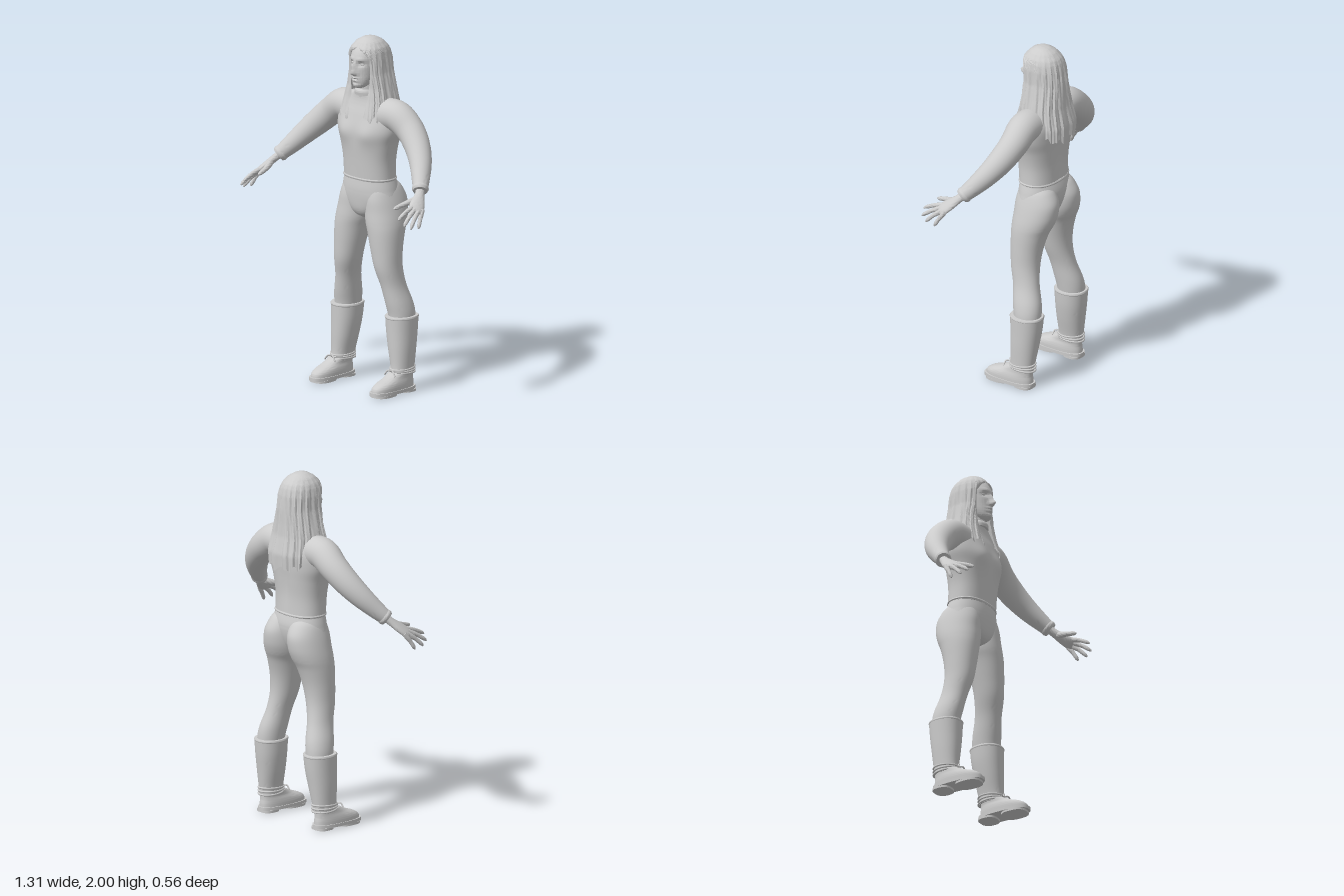
import * as THREE from 'three';
import { toCreasedNormals } from 'three/addons/utils/BufferGeometryUtils.js';

const clay = new THREE.MeshStandardMaterial({ color: 0xcccccc, side: THREE.DoubleSide });
clay.name = 'light grey';

const bell = (d, w) => Math.exp(-(d * d) / (w * w));
const spow = (v, p) => Math.sign(v) * Math.abs(v) ** p;

// Smooth interpolation through a table of rows, t from 0 to 1
function spline(rows, t) {
  const n = rows.length - 1, f = Math.min(t, 0.999999) * n, i = Math.floor(f), k = f - i;
  const a = rows[Math.max(i - 1, 0)], b = rows[i], c = rows[i + 1], d = rows[Math.min(i + 2, n)];
  return b.map((p, j) => p + 0.5 * k * (c[j] - a[j] + k * (2 * a[j] - 5 * p + 4 * c[j] - d[j]
    + k * (3 * (p - c[j]) + d[j] - a[j]))));
}

// Linear lookup by the first column, which descends
function lookup(rows, y) {
  let i = 0;
  while (i < rows.length - 2 && y < rows[i + 1][0]) i++;
  const a = rows[i], b = rows[i + 1], k = Math.min(Math.max((a[0] - y) / (a[0] - b[0]), 0), 1);
  return a.map((p, j) => p + (b[j] - p) * k);
}

// Grid surface, fn(u, v) gives a Vector3
function grid(nu, nv, fn, crease = 0.9) {
  const pos = [], idx = [];
  for (let j = 0; j <= nv; j++)
    for (let i = 0; i <= nu; i++) pos.push(...fn(i / nu, j / nv).toArray());
  for (let j = 0; j < nv; j++)
    for (let i = 0; i < nu; i++) {
      const a = j * (nu + 1) + i, d = a + nu + 1;
      idx.push(a, a + 1, d + 1, a, d + 1, d);
    }
  const g = new THREE.BufferGeometry();
  g.setAttribute('position', new THREE.Float32BufferAttribute(pos, 3));
  g.setIndex(idx);
  return toCreasedNormals(g, crease);
}

// Body of level rings [y, centre x, half width, z front, z back], rising, capped
function loft(rows, { n = 2, seg = 40, steps = 6, warp } = {}) {
  const nv = (rows.length - 1) * steps + 2;
  return grid(seg, nv, (u, v) => {
    const j = Math.round(v * nv), a = u * Math.PI * 2;
    const cap = j === 0 || j === nv ? 0 : 1;
    const [y, cx, rx, zf, zb] = spline(rows, Math.min(Math.max((j - 1) / (nv - 2), 0), 1));
    const p = new THREE.Vector3(cx + cap * rx * spow(Math.sin(a), 2 / n), y,
      (zf + zb) / 2 + cap * (zf - zb) / 2 * spow(Math.cos(a), 2 / n));
    if (warp && cap) warp(p, Math.cos(a));
    return p;
  });
}

// Tapered limb through [x, y, z, half width, half thickness]; side sets the width direction
function limb(rows, { seg = 16, steps = 5, side = new THREE.Vector3(0, 1, 0.2) } = {}) {
  const nv = (rows.length - 1) * steps + 2;
  const at = t => new THREE.Vector3(...spline(rows, t).slice(0, 3));
  return grid(seg, nv, (u, v) => {
    const j = Math.round(v * nv), a = u * Math.PI * 2, cap = j === 0 || j === nv ? 0 : 1;
    const t = Math.min(Math.max((j - 1) / (nv - 2), 0), 1), [, , , w, h = w] = spline(rows, t);
    const dir = at(Math.min(t + 0.01, 1)).sub(at(Math.max(t - 0.01, 0))).normalize();
    const e1 = side.clone().addScaledVector(dir, -side.dot(dir)).normalize();
    const e2 = e1.clone().cross(dir);
    return at(t).addScaledVector(e1, cap * w * Math.sin(a)).addScaledVector(e2, cap * h * Math.cos(a));
  });
}

// Long hair: a rippled sheet open around the face, [y, half width, back, front, face gap]
function hairGeometry() {
  const rows = [
    [2.0, 0, 0, 0, 0], [1.994, 0.035, 0.04, 0.035, 0], [1.975, 0.068, 0.078, 0.07, 0],
    [1.945, 0.092, 0.108, 0.098, 0.05], [1.92, 0.102, 0.12, 0.11, 0.5], [1.88, 0.109, 0.13, 0.112, 0.8],
    [1.8, 0.113, 0.138, 0.1, 0.75], [1.72, 0.13, 0.142, 0.09, 0.52], [1.65, 0.146, 0.148, 0.1, 0.4],
    [1.55, 0.16, 0.17, 0.128, 0.28], [1.44, 0.15, 0.165, 0.13, 0.28]];
  return grid(150, 60, (u, v) => {
    const t = u * 2 - 1, q = Math.abs(t);
    const jag = 0.012 * Math.sin(t * 37) + 0.008 * Math.sin(t * 61 + 1);
    const end = (q > 0.6 ? 1.55 : 1.47 + 0.22 * q * q) + jag;
    const y = 2 - (2 - end) * v ** 1.7;
    const [, rx, back, front, gap] = lookup(rows, y);
    const a = t * (Math.PI - gap), c = Math.cos(a), n = 2 / (2 + v * 0.8);
    const strands = 0.022 * Math.sin(a * 19 + v * 4) + 0.014 * Math.sin(a * 43 - v * 5);
    const r = (1 + strands * Math.min(v * 2, 1)) * (1 - 0.12 * q ** 24 * Math.min(v * 2, 1));
    return new THREE.Vector3(-r * rx * spow(Math.sin(a), n), y,
      -0.11 - r * (c > 0 ? back : front) * spow(c, n));
  }, 0.6);
}

// Nose, brow, eye sockets, lips and chin pushed out of the face
function shapeFace(p, front) {
  if (front < 0.1) return;
  const x = Math.abs(p.x), { y } = p;
  p.z += 0.034 * bell(x, 0.014) * bell(y - 1.81, 0.017) + 0.018 * bell(x, 0.011) * bell(y - 1.842, 0.026)
    + 0.008 * bell(x - 0.014, 0.008) * bell(y - 1.803, 0.009)
    - 0.014 * bell(x - 0.034, 0.018) * bell(y - 1.858, 0.012)
    + 0.006 * bell(x - 0.032, 0.025) * bell(y - 1.885, 0.01)
    + 0.012 * bell(x, 0.022) * (bell(y - 1.781, 0.006) + bell(y - 1.764, 0.006))
    + 0.008 * bell(x, 0.02) * bell(y - 1.735, 0.012);
}

export function createModel() {
  const model = new THREE.Group();
  model.name = 'figure';
  const add = (name, geometry, parent = model) => {
    const m = new THREE.Mesh(geometry, clay);
    m.name = name;
    parent.add(m);
    return m;
  };

  // Head and hair
  add('head', loft([
    [1.72, 0, 0.026, -0.008, -0.08], [1.735, 0, 0.044, 0.001, -0.1], [1.765, 0, 0.06, 0.003, -0.14],
    [1.8, 0, 0.07, 0.003, -0.18], [1.85, 0, 0.078, 0.004, -0.21], [1.9, 0, 0.082, 0.0, -0.22],
    [1.945, 0, 0.072, -0.025, -0.2], [1.975, 0, 0.04, -0.06, -0.16]],
  { seg: 96, steps: 12, n: 2.2, warp: shapeFace }));
  for (const s of [1, -1]) {
    const eye = add('eye', new THREE.SphereGeometry(0.013, 16, 10));
    eye.scale.set(1.1, 0.6, 0.7);
    eye.position.set(s * 0.034, 1.858, -0.02);
  }
  add('hair', hairGeometry());
  add('neck', loft([[1.64, 0, 0.07, -0.04, -0.17], [1.7, 0, 0.058, -0.035, -0.155], [1.79, 0, 0.056, -0.04, -0.16]]));
  add('collar', loft([[1.675, 0, 0.072, -0.022, -0.168], [1.695, 0, 0.066, -0.02, -0.163],
    [1.708, 0, 0.06, -0.028, -0.158]]));

  // Top, with a soft chest and a groove down the spine
  add('torso', loft([
    [1.19, 0, 0.163, -0.008, -0.226], [1.3, 0, 0.164, 0.0, -0.225], [1.4, 0, 0.182, 0.008, -0.233],
    [1.48, 0, 0.208, 0.008, -0.24], [1.56, 0, 0.208, -0.01, -0.242], [1.62, 0, 0.182, -0.03, -0.222],
    [1.66, 0, 0.135, -0.038, -0.195], [1.69, 0, 0.065, -0.035, -0.16]],
  { n: 2.3, seg: 56, warp: (p, f) => {
    if (f > 0) p.z += 0.014 * bell(Math.abs(p.x) - 0.085, 0.06) * bell(p.y - 1.46, 0.06);
    else p.z += 0.012 * bell(p.x, 0.03) * bell(p.y - 1.4, 0.15);
  } }));
  add('hem', loft([[1.192, 0, 0.16, -0.006, -0.228], [1.198, 0, 0.167, -0.003, -0.231],
    [1.206, 0, 0.163, -0.006, -0.227]], { n: 2.3, seg: 48 }));
  add('pelvis', loft([
    [0.965, 0, 0.03, -0.07, -0.16], [0.985, 0, 0.075, -0.035, -0.19], [1.02, 0, 0.13, -0.015, -0.215],
    [1.08, 0, 0.182, -0.006, -0.235], [1.14, 0, 0.176, -0.004, -0.24], [1.2, 0, 0.16, -0.01, -0.226]],
  { n: 2.2, seg: 48 }));

  for (const s of [1, -1]) {
    const side = s > 0 ? 'left' : 'right';
    const part = rows => rows.map(([y, x, ...rest]) => [y, x * s, ...rest]);
    const path = rows => rows.map(([x, ...rest]) => [x * s, ...rest]);

    // Leg
    add(side + 'Leg', loft(part([
      [0.36, 0.212, 0.062, -0.08, -0.23], [0.43, 0.208, 0.07, -0.075, -0.235], [0.5, 0.197, 0.07, -0.062, -0.228],
      [0.6, 0.175, 0.064, -0.045, -0.2], [0.7, 0.155, 0.073, -0.02, -0.187], [0.8, 0.141, 0.085, -0.011, -0.195],
      [0.9, 0.127, 0.098, -0.006, -0.222], [0.96, 0.114, 0.107, -0.006, -0.25], [1.02, 0.104, 0.106, -0.01, -0.268],
      [1.09, 0.096, 0.096, -0.014, -0.27], [1.15, 0.088, 0.082, -0.03, -0.24], [1.18, 0.085, 0.06, -0.06, -0.21]]),
    { n: 2.1 }));

    // Boot: shaft, rim, laces, shoe and sole
    const boot = new THREE.Group();
    boot.name = side + 'Boot';
    model.add(boot);
    add('shaft', loft(part([
      [0.1, 0.231, 0.053, -0.06, -0.205], [0.15, 0.229, 0.057, -0.065, -0.212], [0.25, 0.22, 0.071, -0.062, -0.227],
      [0.34, 0.213, 0.08, -0.06, -0.24], [0.425, 0.21, 0.085, -0.058, -0.248]]), { n: 2.2 }), boot);
    add('rim', loft(part([[0.415, 0.21, 0.084, -0.058, -0.247], [0.423, 0.21, 0.087, -0.055, -0.25],
      [0.43, 0.21, 0.083, -0.059, -0.246]]), { n: 2.2 }), boot);
    for (const [i, y] of [0.108, 0.122, 0.137].entries()) {
      const lace = add('lace', new THREE.TorusGeometry(1, 0.08, 8, 40), boot);
      lace.scale.set(0.058, 0.077, 0.07);
      lace.rotation.set(Math.PI / 2 + 0.06 * (i - 1), 0.05 * (1 - i), 0);
      lace.position.set(s * 0.23, y, -0.137);
    }
    for (const k of [1, -1])
      add('laceEnd', limb([[s * 0.232, 0.125, -0.06, 0.005], [s * 0.232 + k * 0.02, 0.13, -0.04, 0.005],
        [s * 0.232 + k * 0.04, 0.105, -0.035, 0.004]], { seg: 8 }), boot);
    add('shoe', loft(part([
      [0.025, 0.234, 0.058, 0.097, -0.204], [0.05, 0.234, 0.058, 0.09, -0.203], [0.07, 0.234, 0.055, 0.06, -0.2],
      [0.09, 0.234, 0.05, 0.005, -0.2], [0.115, 0.232, 0.05, -0.045, -0.2]]), { n: 2.5 }), boot);
    const slab = (name, y0, y1, w, zf, zb) => add(name, loft(part([[y0, 0.234, w, zf, zb],
      [y1, 0.234, w, zf, zb]]), { n: 2.7, steps: 1 }), boot);
    slab('sole', 0.012, 0.03, 0.063, 0.107, -0.213);
    slab('heel', 0, 0.013, 0.056, -0.1, -0.21);
    slab('tread', 0, 0.013, 0.06, 0.092, -0.06);

    // Sleeve and cuff
    add(side + 'Arm', limb(path([
      [0.12, 1.57, -0.12, 0.092], [0.21, 1.57, -0.124, 0.088], [0.3, 1.512, -0.125, 0.08],
      [0.38, 1.44, -0.1, 0.073], [0.45, 1.365, -0.055, 0.063], [0.51, 1.29, 0.005, 0.05],
      [0.546, 1.245, 0.046, 0.041]]), { seg: 28 }));
    add(side + 'Cuff', limb(path([[0.533, 1.261, 0.031, 0.043], [0.541, 1.251, 0.04, 0.047],
      [0.549, 1.241, 0.049, 0.04]]), { seg: 28 }));

    // Hand
    const hand = new THREE.Group();
    hand.name = side + 'Hand';
    model.add(hand);
    add('palm', limb(path([
      [0.535, 1.257, 0.034, 0.026, 0.023], [0.56, 1.225, 0.065, 0.027, 0.021], [0.585, 1.19, 0.105, 0.04, 0.02],
      [0.605, 1.16, 0.14, 0.043, 0.018], [0.614, 1.148, 0.155, 0.032, 0.012]]),
    { seg: 24, side: new THREE.Vector3(s * 0.05, -0.03, -0.04) }), hand);
    // knuckle and tip of each finger, index to little
    const fingers = [
      [0.588, 1.172, 0.155, 0.598, 1.125, 0.272], [0.605, 1.158, 0.158, 0.632, 1.094, 0.262],
      [0.62, 1.147, 0.145, 0.648, 1.074, 0.225], [0.628, 1.144, 0.118, 0.649, 1.066, 0.165]];
    for (const [x0, y0, z0, x1, y1, z1] of fingers) {
      const at = (k, lift, r) => [x0 + (x1 - x0) * k, y0 + (y1 - y0) * k + lift, z0 + (z1 - z0) * k, r];
      add('finger', limb(path([at(-0.2, 0, 0.013), at(0.2, 0.004, 0.0135), at(0.5, 0.007, 0.0115),
        at(0.85, 0.004, 0.0105), at(1, 0, 0.004)]), { side: new THREE.Vector3(1, 0, 0) }), hand);
    }
    add('thumb', limb(path([
      [0.57, 1.21, 0.085, 0.02], [0.548, 1.195, 0.13, 0.017], [0.533, 1.182, 0.175, 0.0135],
      [0.526, 1.172, 0.215, 0.0115], [0.524, 1.167, 0.232, 0.004]]), { side: new THREE.Vector3(1, 0, 0) }), hand);
  }
  return model;
}
